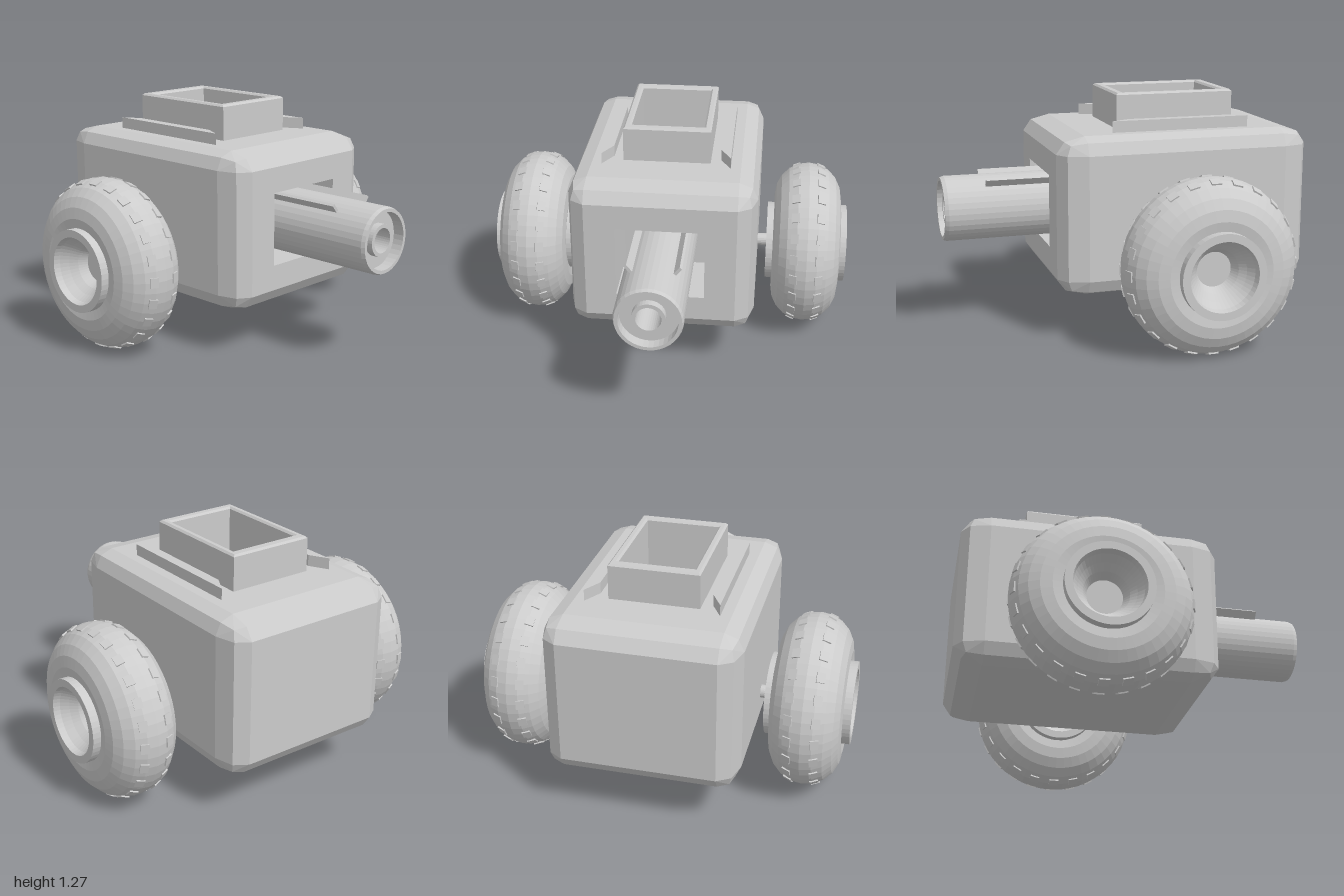
import * as THREE from 'three';
import { mergeGeometries } from 'three/addons/utils/BufferGeometryUtils.js';
import { ConvexGeometry } from 'three/addons/geometries/ConvexGeometry.js';

const grey = new THREE.MeshStandardMaterial({ color: 0xcccccc, flatShading: true });
const inside = new THREE.MeshStandardMaterial({ color: 0xcccccc, flatShading: true, side: THREE.BackSide });

function add(parent, name, geometry, material = grey) {
  const mesh = new THREE.Mesh(geometry, material);
  mesh.name = name;
  parent.add(mesh);
  return mesh;
}

const lathe = (points, segments) =>
  new THREE.LatheGeometry(points.map(([r, h]) => new THREE.Vector2(r, h)), segments);

// Removes the triangles that face along any of the given directions
function withoutFaces(geometry, directions) {
  const source = geometry.index ? geometry.toNonIndexed() : geometry;
  const p = source.attributes.position;
  const kept = [];
  const tri = new THREE.Triangle(), n = new THREE.Vector3();
  for (let i = 0; i < p.count; i += 3) {
    tri.setFromAttributeAndIndices(p, i, i + 1, i + 2);
    tri.getNormal(n);
    if (directions.some((d) => n.dot(d) > 0.99)) continue;
    for (const v of [tri.a, tri.b, tri.c]) kept.push(v.x, v.y, v.z);
  }
  const result = new THREE.BufferGeometry();
  result.setAttribute('position', new THREE.Float32BufferAttribute(kept, 3));
  result.computeVertexNormals();
  return result;
}

// Rectangle with a rectangular hole, each given as [x0, y0, x1, y1]
function frame([x0, y0, x1, y1], [a0, b0, a1, b1]) {
  const corners = (l, b, r, t) => [[l, b], [r, b], [r, t], [l, t]].map(([x, y]) => new THREE.Vector2(x, y));
  const shape = new THREE.Shape(corners(x0, y0, x1, y1));
  shape.holes.push(new THREE.Path(corners(a0, b0, a1, b1).reverse()));
  return shape;
}

// Box between two corners
function box(min, max) {
  const g = new THREE.BoxGeometry(max[0] - min[0], max[1] - min[1], max[2] - min[2]);
  return g.translate((min[0] + max[0]) / 2, (min[1] + max[1]) / 2, (min[2] + max[2]) / 2);
}

function createBody() {
  const body = new THREE.Group();
  body.name = 'body';
  const up = new THREE.Vector3(0, 1, 0), front = new THREE.Vector3(0, 0, 1);

  // Hull with two-step bevels, wider along z than along x and y
  const core = [0.4, 0.33, 0.54], bevel = [0.1, 0.09, 0.15];
  const d = Math.SQRT1_2, c = 1 / Math.sqrt(3);
  const dirs = [[1, 0, 0], [0, 1, 0], [0, 0, 1], [d, d, 0], [d, 0, d], [0, d, d], [c, c, c]];
  const points = [];
  for (const sx of [-1, 1]) for (const sy of [-1, 1]) for (const sz of [-1, 1]) {
    for (const v of dirs) {
      points.push(new THREE.Vector3(
        sx * (core[0] + bevel[0] * v[0]),
        0.67 + sy * (core[1] + bevel[1] * v[1]),
        -0.27 + sz * (core[2] + bevel[2] * v[2])));
    }
  }
  add(body, 'hull', withoutFaces(new ConvexGeometry(points), [up, front]));

  // Front and top panels with their openings
  const frontPanel = new THREE.ShapeGeometry(frame([-0.4, 0.34, 0.4, 1.0], [-0.235, 0.475, 0.235, 0.865]));
  add(body, 'frontPanel', frontPanel.translate(0, 0, 0.42));
  const topPanel = new THREE.ShapeGeometry(frame([-0.4, -0.27, 0.4, 0.81], [-0.195, 0, 0.195, 0.545]));
  add(body, 'topPanel', topPanel.rotateX(-Math.PI / 2).translate(0, 1.09, 0));
  add(body, 'barrelRecess', withoutFaces(box([-0.235, 0.475, 0.05], [0.235, 0.865, 0.42]), [front]), inside);
  add(body, 'hopperShaft', withoutFaces(box([-0.195, 0.65, -0.545], [0.195, 1.09, 0]), [up]), inside);

  // Open hopper collar
  const collar = new THREE.ExtrudeGeometry(frame([-0.235, -0.05, 0.235, 0.6], [-0.195, 0, 0.195, 0.545]), {
    depth: 0.18, bevelThickness: 0.01, bevelSize: 0.01, bevelOffset: -0.01, bevelSegments: 1,
  });
  add(body, 'hopper', collar.rotateX(-Math.PI / 2).translate(0, 1.09, 0));

  // Mitred rails beside the hopper
  for (const s of [-1, 1]) {
    const outline = [[0.29, 0], [0.345, -0.105], [0.345, 0.65], [0.29, 0.55]];
    const rail = new THREE.ExtrudeGeometry(
      new THREE.Shape(outline.map(([x, y]) => new THREE.Vector2(s * x, y))),
      { depth: 0.07, bevelEnabled: false });
    add(body, s > 0 ? 'leftRail' : 'rightRail', rail.rotateX(-Math.PI / 2).translate(0, 1.08, 0));
  }
  return body;
}

function createBarrel() {
  const barrel = new THREE.Group();
  barrel.name = 'barrel';
  barrel.position.y = 0.665;
  // Outer tube with a stepped muzzle and a smaller inner tube
  const tube = lathe([
    [0.175, 0.05], [0.175, 0.94], [0.168, 0.96], [0.15, 0.96], [0.15, 0.9], [0.085, 0.9],
    [0.085, 0.94], [0.065, 0.94], [0.065, 0.7], [0, 0.7],
  ], 36);
  add(barrel, 'barrelTube', tube.rotateX(Math.PI / 2));
  // Thin radial fins
  for (const s of [-1, 1]) {
    const fin = box([-0.008, 0.15, 0.05], [0.008, 0.222, 0.735]);
    add(barrel, s > 0 ? 'leftFin' : 'rightFin', fin.rotateZ(-s * 0.68));
  }
  return barrel;
}

function createWheel(side) {
  const wheel = new THREE.Group();
  wheel.name = side > 0 ? 'leftWheel' : 'rightWheel';
  wheel.position.set(side * 0.775, 0.465, -0.275);

  // Round tyre
  const profile = [];
  for (let i = 0; i <= 20; i++) {
    const a = -Math.PI + (i / 20) * Math.PI * 2;
    profile.push([0.27 + 0.188 * Math.cos(a), 0.188 * Math.sin(a)]);
  }
  add(wheel, 'tyre', lathe(profile, 48).rotateZ(-Math.PI / 2));

  // Two rows of tread blocks
  const blocks = [];
  for (let i = 0; i < 24; i++) {
    for (const row of [-1, 1]) {
      blocks.push(new THREE.BoxGeometry(0.045, 0.02, 0.052)
        .translate(0, 0.182, 0).rotateZ(-row * 0.38)
        .translate(0, 0.27, 0).rotateX((i / 24) * Math.PI * 2));
    }
  }
  add(wheel, 'tread', mergeGeometries(blocks));

  // Hub hollowed by a curved funnel on both faces
  const half = [[0.22, 0.225], [0.18, 0.225], [0.172, 0.19], [0.145, 0.15], [0.115, 0.115], [0.09, 0.07], [0, 0.07]];
  const hub = [...half.map(([r, h]) => [r, -h]).reverse(), ...half];
  add(wheel, 'hub', lathe(hub, 48).rotateZ(-Math.PI / 2));
  return wheel;
}

export function createModel() {
  const model = new THREE.Group();
  model.name = 'wheeledCannon';
  model.add(createBody(), createBarrel(), createWheel(1), createWheel(-1));
  // Stub axles from the hull to the hubs
  for (const s of [-1, 1]) {
    const axle = new THREE.CylinderGeometry(0.035, 0.035, 0.3, 20).rotateZ(Math.PI / 2);
    add(model, s > 0 ? 'leftAxle' : 'rightAxle', axle).position.set(s * 0.6, 0.465, -0.275);
  }
  return model;
}
